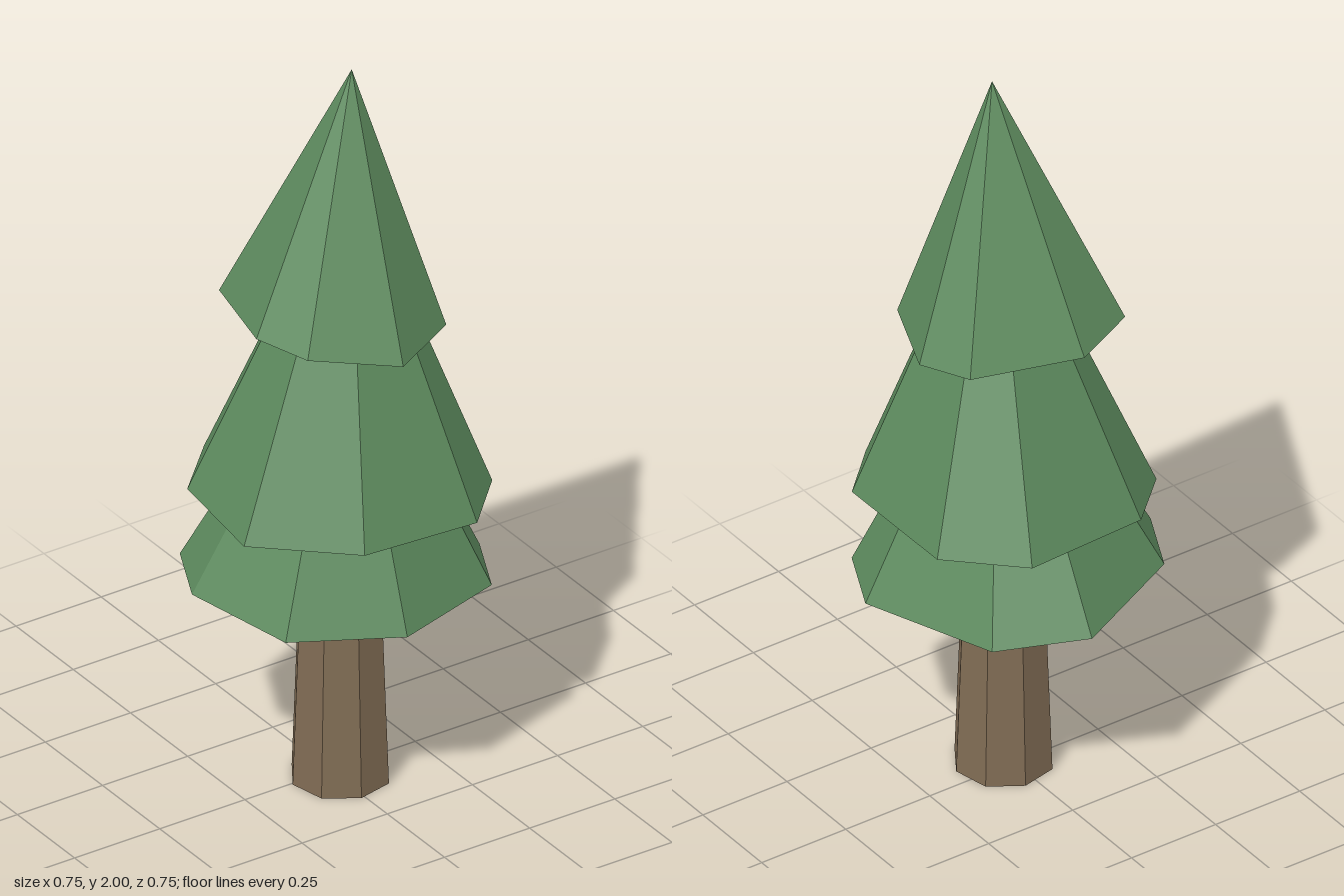
import * as THREE from 'three';

const leafMaterial = new THREE.MeshStandardMaterial({ color: 0x5e8c5f, flatShading: true });
const barkMaterial = new THREE.MeshStandardMaterial({ color: 0x806c54, flatShading: true });

// Irregular cone: a rim of [x, y, z] corners joined to an apex and closed underneath
function irregularCone(rim, apex) {
  const n = rim.length;
  const centre = [0, 1, 2].map((k) => rim.reduce((sum, p) => sum + p[k], 0) / n);
  const positions = [];
  rim.forEach((p, i) => {
    const q = rim[(i + 1) % n];
    positions.push(...q, ...p, ...apex); // sloping side
    positions.push(...p, ...q, ...centre); // underside
  });
  const geometry = new THREE.BufferGeometry();
  geometry.setAttribute('position', new THREE.Float32BufferAttribute(positions, 3));
  geometry.computeVertexNormals();
  return geometry;
}

// Three foliage tiers; rims run clockwise seen from above
const tiers = [
  {
    name: 'lowerFoliage',
    apex: [0.02, 1.34, 0.04],
    rim: [
      [0.03, 0.59, -0.375], [0.25, 0.575, -0.265], [0.375, 0.565, 0.095], [0.29, 0.565, 0.275],
      [-0.025, 0.57, 0.375], [-0.305, 0.59, 0.26], [-0.375, 0.6, -0.045], [-0.29, 0.6, -0.225],
    ],
  },
  {
    name: 'middleFoliage',
    apex: [0.03, 1.73, 0.04],
    rim: [
      [-0.165, 0.825, -0.305], [0.18, 0.835, -0.335], [0.34, 0.825, -0.16], [0.335, 0.815, 0.21],
      [0.2, 0.805, 0.345], [-0.12, 0.81, 0.33], [-0.34, 0.81, 0.13], [-0.305, 0.815, -0.17],
    ],
  },
  {
    name: 'topFoliage',
    apex: [0.03, 2, 0.05],
    rim: [
      [-0.035, 1.325, -0.25], [0.235, 1.31, -0.15], [0.295, 1.305, -0.02], [0.2, 1.3, 0.21],
      [0, 1.3, 0.32], [-0.21, 1.335, 0.215], [-0.27, 1.35, 0.08], [-0.205, 1.34, -0.18],
    ],
  },
];

export function createModel() {
  const tree = new THREE.Group();
  tree.name = 'pineTree';

  // Tapered eight-sided trunk
  const trunk = new THREE.Mesh(
    new THREE.CylinderGeometry(0.104, 0.127, 0.62, 8, 1, false, THREE.MathUtils.degToRad(35)),
    barkMaterial
  );
  trunk.name = 'trunk';
  trunk.position.set(0.012, 0.31, 0.027);
  tree.add(trunk);

  // Stacked foliage
  for (const { name, rim, apex } of tiers) {
    const mesh = new THREE.Mesh(irregularCone(rim, apex), leafMaterial);
    mesh.name = name;
    tree.add(mesh);
  }
  return tree;
}
